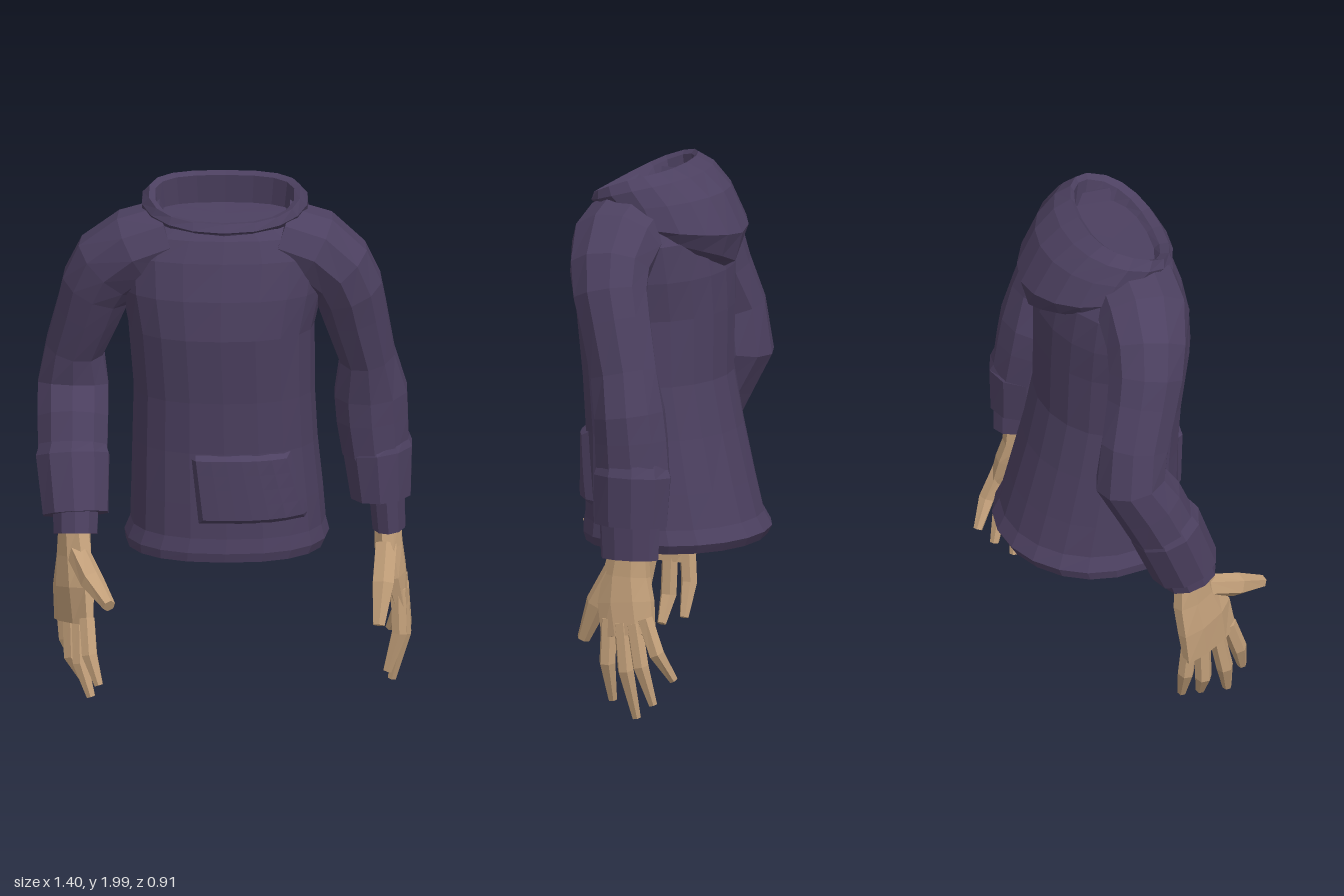
import * as THREE from 'three';

const cloth = new THREE.MeshStandardMaterial({ color: 0x4c4060, flatShading: true });
cloth.name = 'purple cloth';
const skin = new THREE.MeshStandardMaterial({ color: 0xc4a17b, flatShading: true });
skin.name = 'skin';

// Skin a list of point rings, closing both ends with fans
function skinRings(rings) {
  const n = rings[0].length, pos = [], idx = [];
  rings.forEach(r => r.forEach(p => pos.push(p.x, p.y, p.z)));
  for (let i = 0; i < rings.length - 1; i++)
    for (let j = 0; j < n; j++) {
      const k = (j + 1) % n, a = i * n + j, b = i * n + k;
      idx.push(a, b, b + n, a, b + n, a + n);
    }
  [0, rings.length - 1].forEach((r, end) => {
    const c = new THREE.Vector3();
    rings[r].forEach(p => c.addScaledVector(p, 1 / n));
    const ci = pos.length / 3;
    pos.push(c.x, c.y, c.z);
    for (let j = 0; j < n; j++) {
      const a = r * n + j, b = r * n + (j + 1) % n;
      if (end) idx.push(ci, a, b); else idx.push(ci, b, a);
    }
  });
  return makeGeometry(pos, idx);
}

function makeGeometry(pos, idx) {
  const g = new THREE.BufferGeometry();
  g.setAttribute('position', new THREE.Float32BufferAttribute(pos, 3));
  g.setIndex(idx);
  g.computeVertexNormals();
  return g;
}

function add(group, name, geometry, material) {
  const m = new THREE.Mesh(geometry, material);
  m.name = name;
  group.add(m);
}

// Tube through stations [x, y, z, radius across, radius along z], turned about y by yaw
function limb(stations, sides, yaw = 0) {
  const c = stations.map(s => new THREE.Vector3(s[0], s[1], s[2]));
  const along = new THREE.Vector3(Math.sin(yaw), 0, Math.cos(yaw));
  return skinRings(stations.map((s, i) => {
    const t = c[Math.min(i + 1, c.length - 1)].clone().sub(c[Math.max(i - 1, 0)]).normalize();
    const u = t.clone().cross(along).normalize(), w = t.clone().cross(u);
    return Array.from({ length: sides }, (_, j) => {
      const a = (j + 0.5) / sides * Math.PI * 2;
      return c[i].clone().addScaledVector(u, s[3] * Math.cos(a)).addScaledVector(w, s[4] * Math.sin(a));
    });
  }));
}

const POW = 0.84;
const soft = (v, p = POW) => Math.sign(v) * Math.abs(v) ** p;

// Torso sections [y, right x, left x, back z, front z], bottom to top
const BODY = [
  [0.58, -0.37, 0.372, -0.435, 0.222], [0.615, -0.376, 0.388, -0.455, 0.23],
  [0.67, -0.354, 0.375, -0.425, 0.222], [0.80, -0.35, 0.365, -0.39, 0.222],
  [1.00, -0.345, 0.345, -0.34, 0.222], [1.20, -0.34, 0.335, -0.30, 0.235],
  [1.45, -0.36, 0.335, -0.30, 0.265], [1.60, -0.39, 0.37, -0.295, 0.255],
  [1.74, -0.40, 0.39, -0.27, 0.225], [1.82, -0.35, 0.35, -0.23, 0.195],
  [1.86, -0.27, 0.27, -0.17, 0.165]
];

// Boxier in front, rounder behind
function bodyRing([y, x0, x1, z0, z1], sides = 20) {
  return Array.from({ length: sides }, (_, j) => {
    const a = j / sides * Math.PI * 2, p = Math.cos(a) < 0 ? 1 : POW;
    return new THREE.Vector3((x0 + x1) / 2 + (x1 - x0) / 2 * soft(Math.sin(a), p), y,
      (z0 + z1) / 2 + (z1 - z0) / 2 * soft(Math.cos(a), p));
  });
}

// Front surface depth of the torso at x, y
function frontDepth(x, y) {
  const i = Math.max(0, BODY.findIndex(r => r[0] > y) - 1);
  const f = (y - BODY[i][0]) / (BODY[i + 1][0] - BODY[i][0]);
  const [, x0, x1, z0, z1] = BODY[i].map((v, k) => v + (BODY[i + 1][k] - v) * f);
  const s = Math.min(1, Math.abs((x - (x0 + x1) / 2) / ((x1 - x0) / 2)) ** (1 / POW));
  return (z0 + z1) / 2 + (z1 - z0) / 2 * Math.sqrt(1 - s * s) ** POW;
}

// Padded front pocket following the torso, edges tucked in
function pocket() {
  const nx = 8, ny = 6, pos = [], idx = [];
  const inset = (k, n) => k === 0 ? 0 : k === n ? 1 : (k - 0.6) / (n - 1.2);
  for (let j = 0; j <= ny; j++)
    for (let i = 0; i <= nx; i++) {
      const edge = i === 0 || j === 0 || i === nx || j === ny;
      const u = inset(i, nx), v = inset(j, ny);
      const x = THREE.MathUtils.lerp(-0.10 - 0.03 * v, 0.325 - 0.075 * v, u), y = 0.725 + 0.275 * v;
      pos.push(x, y, frontDepth(x, y) + (edge ? -0.01 : 0.02));
    }
  for (let j = 0; j < ny; j++)
    for (let i = 0; i < nx; i++) {
      const a = j * (nx + 1) + i, b = a + nx + 1;
      idx.push(a, a + 1, b + 1, a, b + 1, b);
    }
  return makeGeometry(pos, idx);
}

// Hood sections [half width, front z, front y, back z, back y, side rise, roundness]:
// draped outside going up, over the rim, inside going down
function hood() {
  const rows = [
    [0.27, 0.13, 1.82, -0.26, 1.60, 0.5, 1.05], [0.29, 0.16, 1.83, -0.335, 1.64, 0.5, 1.1],
    [0.315, 0.18, 1.835, -0.365, 1.75, 0.6, 1.05], [0.315, 0.185, 1.845, -0.29, 1.90, 1.3, 1],
    [0.312, 0.205, 1.855, -0.21, 1.97, 1.6, 0.92], [0.285, 0.185, 1.885, -0.14, 2.0, 1.7, POW],
    [0.262, 0.15, 1.88, -0.125, 1.985, 1.7, POW], [0.25, 0.13, 1.865, -0.14, 1.875, 1.7, POW]
  ];
  const sides = 18;
  return skinRings(rows.map(([rx, zf, yf, zb, yb, rise, p]) => Array.from({ length: sides }, (_, j) => {
    const a = j / sides * Math.PI * 2, t = (1 + soft(Math.cos(a), p)) / 2;
    return new THREE.Vector3(rx * soft(Math.sin(a), p), yb + (yf - yb) * t ** rise, zb + (zf - zb) * t);
  })));
}

const ARMS = {
  left: {
    sleeve: [[0.20, 1.79, 0.01, 0.14, 0.17], [0.33, 1.745, 0.01, 0.15, 0.175], [0.42, 1.665, 0, 0.143, 0.155],
      [0.462, 1.58, -0.02, 0.134, 0.145], [0.486, 1.48, -0.05, 0.125, 0.138], [0.53, 1.3, -0.1, 0.108, 0.132],
      [0.542, 1.15, -0.13, 0.142, 0.135], [0.548, 1.05, -0.14, 0.14, 0.14], [0.56, 0.92, -0.15, 0.13, 0.145]],
    forearm: [[0.558, 0.95, -0.15, 0.13, 0.14], [0.568, 0.925, -0.152, 0.135, 0.152], [0.58, 0.74, -0.15, 0.117, 0.145]],
    cuff: [[0.60, 0.78, -0.155, 0.07, 0.122], [0.61, 0.615, -0.158, 0.064, 0.115]],
    palm: [[0.605, 0.66, -0.155, 0.052, 0.075], [0.608, 0.55, -0.145, 0.056, 0.095],
      [0.625, 0.45, -0.15, 0.052, 0.115], [0.65, 0.33, -0.17, 0.036, 0.112]],
    palmYaw: 0,
    thumb: [[0.60, 0.56, -0.095], [0.59, 0.43, -0.02], [0.575, 0.285, 0.042]],
    fingers: [
      [[0.645, 0.39, -0.09], [0.65, 0.22, -0.085], [0.605, 0.07, -0.088]],
      [[0.655, 0.38, -0.145], [0.665, 0.2, -0.165], [0.62, 0.012, -0.19]],
      [[0.655, 0.38, -0.195], [0.665, 0.22, -0.225], [0.635, 0.07, -0.262]],
      [[0.65, 0.40, -0.235], [0.655, 0.27, -0.285], [0.61, 0.165, -0.335]]]
  },
  right: {
    sleeve: [[-0.20, 1.79, 0.01, 0.14, 0.17], [-0.33, 1.745, 0.01, 0.15, 0.175], [-0.432, 1.665, -0.01, 0.152, 0.155],
      [-0.48, 1.58, -0.03, 0.137, 0.145], [-0.51, 1.48, -0.055, 0.126, 0.138], [-0.56, 1.33, -0.1, 0.113, 0.132],
      [-0.567, 1.18, -0.12, 0.138, 0.135], [-0.567, 1.06, -0.05, 0.138, 0.135], [-0.567, 0.93, 0.01, 0.135, 0.13]],
    forearm: [[-0.567, 0.97, 0, 0.13, 0.13], [-0.567, 0.935, 0.015, 0.143, 0.14], [-0.555, 0.73, 0.095, 0.127, 0.132]],
    cuff: [[-0.555, 0.77, 0.085, 0.09, 0.108], [-0.555, 0.66, 0.12, 0.085, 0.102]],
    palm: [[-0.56, 0.70, 0.12, 0.055, 0.075], [-0.56, 0.58, 0.135, 0.055, 0.105],
      [-0.562, 0.47, 0.17, 0.05, 0.135], [-0.56, 0.34, 0.193, 0.036, 0.14]],
    palmYaw: 0.5,
    thumb: [[-0.545, 0.60, 0.17], [-0.49, 0.535, 0.32], [-0.425, 0.475, 0.44]],
    fingers: [
      [[-0.51, 0.38, 0.28], [-0.5, 0.25, 0.325], [-0.465, 0.14, 0.35]],
      [[-0.54, 0.37, 0.225], [-0.535, 0.2, 0.26], [-0.495, 0.075, 0.282]],
      [[-0.575, 0.37, 0.16], [-0.57, 0.2, 0.165], [-0.515, 0.1, 0.17]],
      [[-0.6, 0.38, 0.1], [-0.59, 0.25, 0.09], [-0.54, 0.125, 0.09]]]
  }
};

// Tapered digit from three joints
function digit(joints, r) {
  const taper = [1, 1, 0.55];
  return limb(joints.map((p, i) => [...p, r * taper[i], r * taper[i]]), 6);
}

function arm(side) {
  const d = ARMS[side], g = new THREE.Group();
  g.name = side + 'Arm';
  add(g, side + 'Sleeve', limb(d.sleeve, 10), cloth);
  add(g, side + 'Forearm', limb(d.forearm, 10), cloth);
  add(g, side + 'Cuff', limb(d.cuff, 10), cloth);
  const hand = new THREE.Group();
  hand.name = side + 'Hand';
  add(hand, 'palm', limb(d.palm, 8, d.palmYaw), skin);
  add(hand, 'thumb', digit(d.thumb, 0.045), skin);
  ['indexFinger', 'middleFinger', 'ringFinger', 'littleFinger'].forEach((n, i) =>
    add(hand, n, digit(d.fingers[i], 0.032), skin));
  g.add(hand);
  return g;
}

export function createModel() {
  const model = new THREE.Group();
  model.name = 'hoodedTop';
  // Torso, with the hem turned up into a shallow hollow
  const inside = [[0.66, -0.33, 0.345, -0.39, 0.195], [0.585, -0.35, 0.355, -0.415, 0.205]];
  add(model, 'torso', skinRings([...inside, ...BODY].map(r => bodyRing(r))), cloth);
  add(model, 'frontPocket', pocket(), cloth);
  add(model, 'hood', hood(), cloth);
  model.add(arm('left'), arm('right'));
  return model;
}
